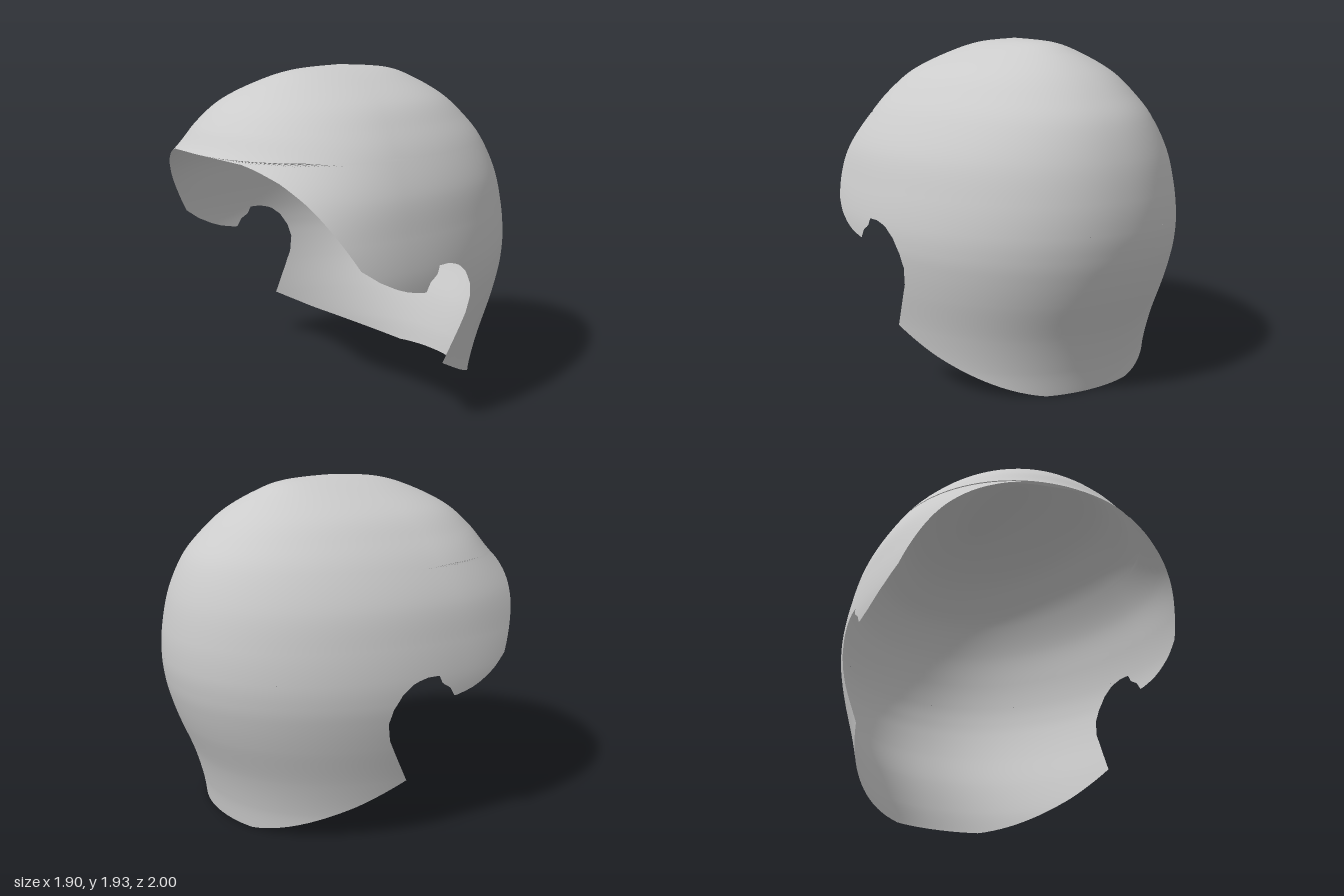
import * as THREE from 'three';

// Horizontal sections from nape to crown: [y, half width, widest z, front z, back z]
const SECTIONS = [
  [0, 0.84, 0.29, 1.4, -0.74],
  [0.14, 0.84, 0.29, 1.4, -0.765],
  [0.33, 0.87, 0.29, 1.4, -0.82],
  [0.55, 0.915, 0.29, 1.4, -0.91],
  [0.7, 0.94, 0.29, 1.41, -0.96],
  [0.81, 0.95, 0.29, 1.42, -0.985],
  [0.935, 0.945, 0.29, 1.42, -0.998],
  [1.1, 0.915, 0.28, 1.38, -0.99],
  [1.3, 0.86, 0.27, 1.2, -0.95],
  [1.49, 0.755, 0.25, 1.0, -0.87],
  [1.62, 0.65, 0.22, 0.9, -0.765],
  [1.74, 0.52, 0.17, 0.77, -0.63],
  [1.84, 0.33, 0.11, 0.575, -0.46],
  [1.905, 0.155, 0.06, 0.36, -0.28],
  [1.93, 0, 0.05, 0.05, 0.05],
];
const FLAP = 5, EAR = 6, TOP = SECTIONS.length - 1;

// Opening edges: [y, z] pairs with rising y
const FACE_EDGE = [[0.81, 0.22], [0.83, 0.32], [0.86, 0.4], [0.91, 0.5], [0.98, 0.6], [1.15, 0.7],
  [1.3, 0.79], [1.4, 0.86], [1.46, 0.92], [1.485, 0.955], [1.49, 1]];
const EAR_FRONT_EDGE = [[0.81, 0.2], [0.86, 0.17], [0.89, 0.12], [0.935, 0.1]];
const NAPE_EDGE = [[0, -0.69], [0.1, -0.48], [0.2, -0.27], [0.33, -0.03], [0.5, -0.12], [0.6, -0.17],
  [0.7, -0.19], [0.78, -0.17], [0.86, -0.12], [0.915, -0.05], [0.935, 0.03]];

// Smooth section at fractional index s
function section(s) {
  const i = Math.min(Math.floor(s), TOP - 1), t = s - i;
  const row = (k) => SECTIONS[Math.min(Math.max(k, 0), TOP)];
  return SECTIONS[0].map((_, c) => {
    const [a, b, d, e] = [row(i - 1)[c], row(i)[c], row(i + 1)[c], row(i + 2)[c]];
    const m0 = (d - a) / 2, m1 = (e - b) / 2;
    return b + m0 * t + (3 * (d - b) - 2 * m0 - m1) * t * t + (2 * (b - d) + m0 + m1) * t * t * t;
  });
}

const POWER = 2.1;
const bend = (v, p) => Math.sign(v) * Math.abs(v) ** p;

// Shell point: angle a runs front, left side, back, right side
function point(s, a) {
  const [y, w, c, front, back] = section(s);
  const k = Math.cos(a);
  return new THREE.Vector3(w * bend(Math.sin(a), 2 / POWER), y,
    c + (k > 0 ? front - c : c - back) * bend(k, 2 / POWER));
}

function normal(s, a) {
  if (s > TOP - 0.01) return new THREE.Vector3(0, 1, 0);
  const e = 0.02;
  const across = point(s, a + e).sub(point(s, a - e));
  const up = point(Math.min(s + e, TOP), a).sub(point(Math.max(s - e, 0), a));
  return across.cross(up).normalize();
}

// Angle at which an opening edge meets section s
function edgeAngle(edge, s) {
  const [y, , c, front, back] = section(s);
  let i = 0;
  while (i < edge.length - 2 && y > edge[i + 1][0]) i++;
  const [y0, z0] = edge[i], [y1, z1] = edge[i + 1];
  const z = z0 + (z1 - z0) * THREE.MathUtils.clamp((y - y0) / (y1 - y0), 0, 1);
  const t = (z - c) / (z > c ? front - c : c - back);
  return Math.acos(THREE.MathUtils.clamp(bend(t, POWER / 2), -1, 1));
}

// Grid of the shell between two sections and two edge angles
function patch(name, s0, s1, from, to, columns, material) {
  const rows = (s1 - s0) * 10;
  const positions = [], normals = [], indices = [];
  for (let i = 0; i <= rows; i++) {
    const s = s0 + (s1 - s0) * i / rows;
    const a0 = from(s), a1 = to(s);
    for (let j = 0; j <= columns; j++) {
      const a = a0 + (a1 - a0) * j / columns;
      positions.push(...point(s, a).toArray());
      normals.push(...normal(s, a).toArray());
      if (i < rows && j < columns) {
        const p = i * (columns + 1) + j, q = p + columns + 1;
        indices.push(p, p + 1, q + 1, p, q + 1, q);
      }
    }
  }
  const geometry = new THREE.BufferGeometry();
  geometry.setAttribute('position', new THREE.Float32BufferAttribute(positions, 3));
  geometry.setAttribute('normal', new THREE.Float32BufferAttribute(normals, 3));
  geometry.setIndex(indices);
  const mesh = new THREE.Mesh(geometry, material);
  mesh.name = name;
  return mesh;
}

export function createModel() {
  const material = new THREE.MeshStandardMaterial({ color: 0xcccccc, side: THREE.DoubleSide });
  const full = 2 * Math.PI;
  const face = (s) => (s >= 9 ? 0 : edgeAngle(FACE_EDGE, s));
  const ear = (s) => edgeAngle(EAR_FRONT_EDGE, s);
  const nape = (s) => edgeAngle(NAPE_EDGE, s);

  const group = new THREE.Group();
  group.name = 'headShell';
  group.add(
    // Dome with the face opening cut from its front
    patch('crown', EAR, TOP, face, (s) => full - face(s), 96, material),
    // Back of the neck, reaching forward below the ear cut-outs
    patch('napeGuard', 0, EAR, nape, (s) => full - nape(s), 80, material),
    // Small tabs in front of the ears
    patch('leftTempleTab', FLAP, EAR, face, ear, 12, material),
    patch('rightTempleTab', FLAP, EAR, (s) => full - ear(s), (s) => full - face(s), 12, material),
  );
  return group;
}
